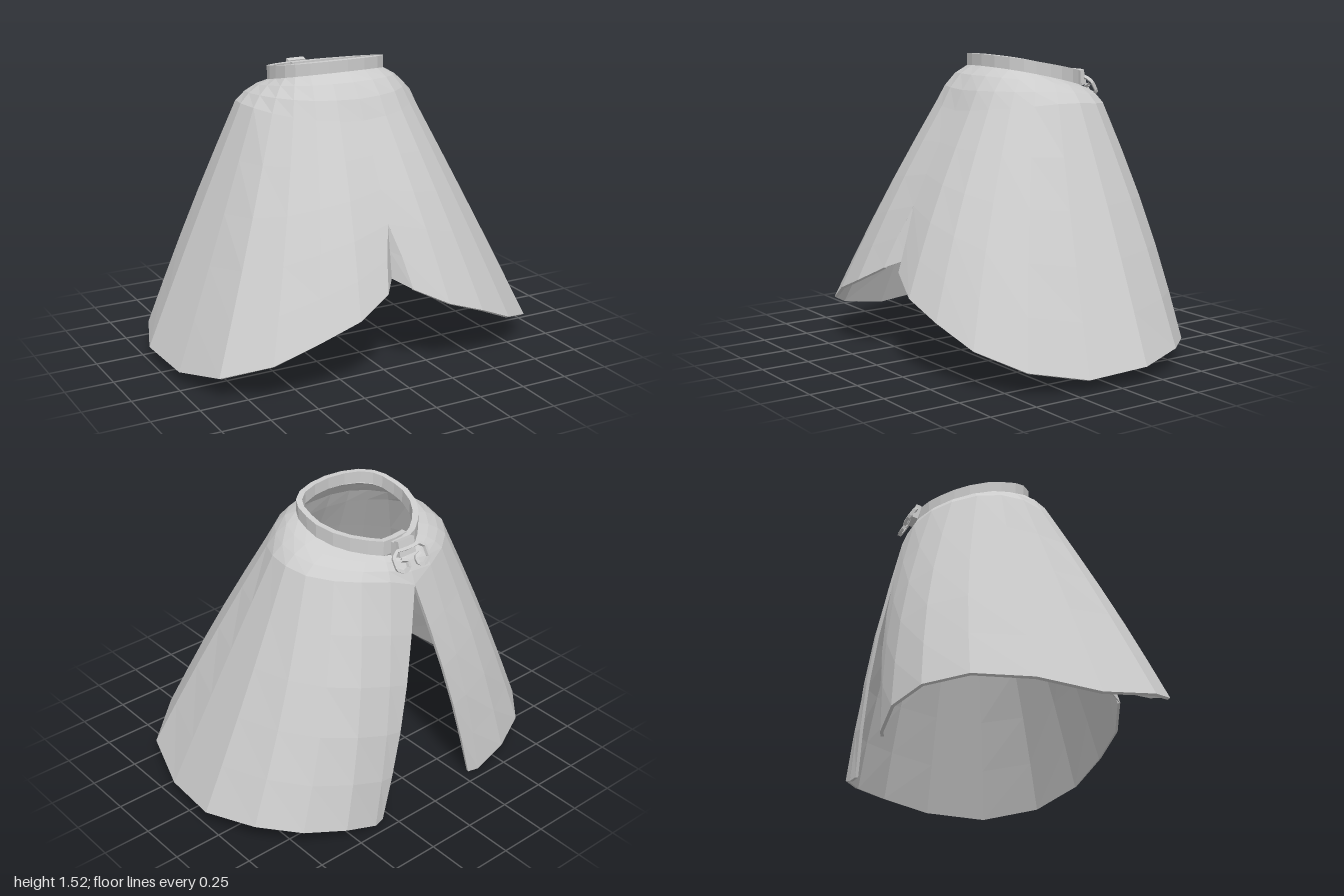
import * as THREE from 'three';

const V = (x, y, z) => new THREE.Vector3(x, y, z);

// Solid cloth: a grid of points (rows run down, columns run anticlockwise) thickened inwards
function cloth(grid, thickness) {
  const R = grid.length - 1, C = grid[0].length - 1, pos = [];
  const inner = grid.map((row, i) => row.map((p, j) => {
    const down = grid[Math.min(i + 1, R)][j].clone().sub(grid[Math.max(i - 1, 0)][j]);
    const side = row[Math.min(j + 1, C)].clone().sub(row[Math.max(j - 1, 0)]);
    const n = down.cross(side);
    if (Math.abs(p.x) < 0.001) n.x = 0; // keep the centre seam in its plane
    return p.clone().addScaledVector(n.normalize(), -thickness);
  }));
  const quad = (a, b, c, d) => [a, b, c, a, c, d].forEach(p => pos.push(p.x, p.y, p.z));
  for (let i = 0; i < R; i++) for (let j = 0; j < C; j++) {
    quad(grid[i][j], grid[i + 1][j], grid[i + 1][j + 1], grid[i][j + 1]);
    quad(inner[i][j], inner[i][j + 1], inner[i + 1][j + 1], inner[i + 1][j]);
  }
  for (let j = 0; j < C; j++) {
    quad(grid[0][j], grid[0][j + 1], inner[0][j + 1], inner[0][j]);
    quad(grid[R][j + 1], grid[R][j], inner[R][j], inner[R][j + 1]);
  }
  for (let i = 0; i < R; i++) {
    quad(grid[i + 1][0], grid[i][0], inner[i][0], inner[i + 1][0]);
    quad(grid[i][C], grid[i + 1][C], inner[i + 1][C], inner[i][C]);
  }
  const g = new THREE.BufferGeometry();
  g.setAttribute('position', new THREE.Float32BufferAttribute(pos, 3));
  g.computeVertexNormals();
  return g;
}

const mirrorPoint = p => V(-p.x, p.y, p.z);
const mirrorGrid = grid => grid.map(row => row.map(mirrorPoint).reverse());

// Columns of one half, from front centre to back edge
const neck = [[0, .118], [.1, .108], [.19, .08], [.25, .035], [.28, -.02], [.293, -.1],
  [.293, -.17], [.265, -.26], [.22, -.33], [.16, -.39], [.1, -.435], [0, -.465]];
const shoulder = [[0, 1.25, .28], [.13, 1.26, .275], [.24, 1.27, .24], [.33, 1.28, .17],
  [.4, 1.29, .08], [.45, 1.3, -.03], [.465, 1.3, -.15], [.44, 1.29, -.27],
  [.36, 1.28, -.38], [.26, 1.27, -.46], [.13, 1.25, -.52], [0, 1.2, -.55]];
const hem = [[.07, .48, .66], [.25, .39, .71], [.46, .31, .69], [.67, .21, .62],
  [.88, .13, .46], [.97, .07, .17], [1, .09, -.15], [.9, .115, -.42],
  [.74, .105, -.6], [.54, .07, -.69], [.36, .01, -.7], [.3, .01, -.685]];

const neckLow = z => 1.44 + .22 * z;
const neckHigh = z => 1.503 + .19 * z;

// Point below the shoulder, t = 0 at the shoulder and 1 at the hem
function skirtPoint(j, t) {
  const p = V(...shoulder[j]).lerp(V(...hem[j]), t);
  p.z += Math.sin(Math.PI * t) * hem[j][2] * (hem[j][2] > 0 ? .03 : .06);
  if (j === 0) p.x = t <= .6 ? 0 : .07 * Math.pow((t - .6) / .4, .75); // front slit
  return p;
}

function capeHalf() {
  const rows = [];
  for (const u of [0, .33, .67]) rows.push(neck.map(([x, z], j) => {
    const a = V(x, neckLow(z), z), s = V(...shoulder[j]);
    const mid = a.clone().lerp(s, .6);
    mid.y = a.y + (s.y - a.y) * .2;
    return new THREE.QuadraticBezierCurve3(a, mid, s).getPoint(u);
  }));
  for (const t of [0, .2, .4, .6, .8, 1]) rows.push(neck.map((_, j) => skirtPoint(j, t)));
  return rows;
}

export function createModel() {
  const group = new THREE.Group();
  const grey = new THREE.MeshStandardMaterial({ color: 0xcccccc, flatShading: true, side: THREE.DoubleSide });
  grey.name = 'cloth grey';
  const add = (name, geometry) => {
    const mesh = new THREE.Mesh(geometry, grey);
    mesh.name = name;
    group.add(mesh);
  };

  // Cape halves, open at the back
  const half = capeHalf();
  add('capeLeft', cloth(half, .016));
  add('capeRight', cloth(mirrorGrid(half), .016));

  // Folded gusset inside the front slit
  const apex = skirtPoint(0, .6), foot = V(0, .52, .57);
  add('frontGusset', cloth([.601, .8, 1].map(t => {
    const edge = skirtPoint(0, t);
    return [mirrorPoint(edge), apex.clone().lerp(foot, (t - .6) / .4), edge];
  }), .006));

  // Collar band with overlapping ends at the back
  const inside = neck.slice(0, -1);
  const loop = [[.06, -.475], [-.02, -.468], ...inside.slice(1).reverse().map(([x, z]) => [-x, z]),
    ...inside, [.03, -.438], [-.05, -.43]];
  add('collar', cloth([neckHigh, neckLow].map(f => loop.map(([x, z]) => V(x, f(z), z))), .03));

  // Back tab holding the clasp
  const tab = new THREE.BoxGeometry(.1, .08, .03);
  tab.rotateX(.25);
  tab.translate(.01, 1.385, -.485);
  add('claspTab', tab);

  // Two curled hooks, drawn in the sloping plane of the clasp
  const hook = [[0, .15], [.07, .1], [.1, .3], [.1, .8], [.065, 1], [.03, .9], [.025, .6], [.06, .5]];
  for (const [name, side] of [['claspHookLeft', 1], ['claspHookRight', -1]]) {
    const path = new THREE.CurvePath();
    const pts = hook.map(([u, v]) => V(side * u + .005, 1.395 - .1 * v, -.49 - .062 * v));
    for (let k = 1; k < pts.length; k++) path.add(new THREE.LineCurve3(pts[k - 1], pts[k]));
    add(name, new THREE.TubeGeometry(path, 28, .011, 4, false));
  }

  return group;
}
